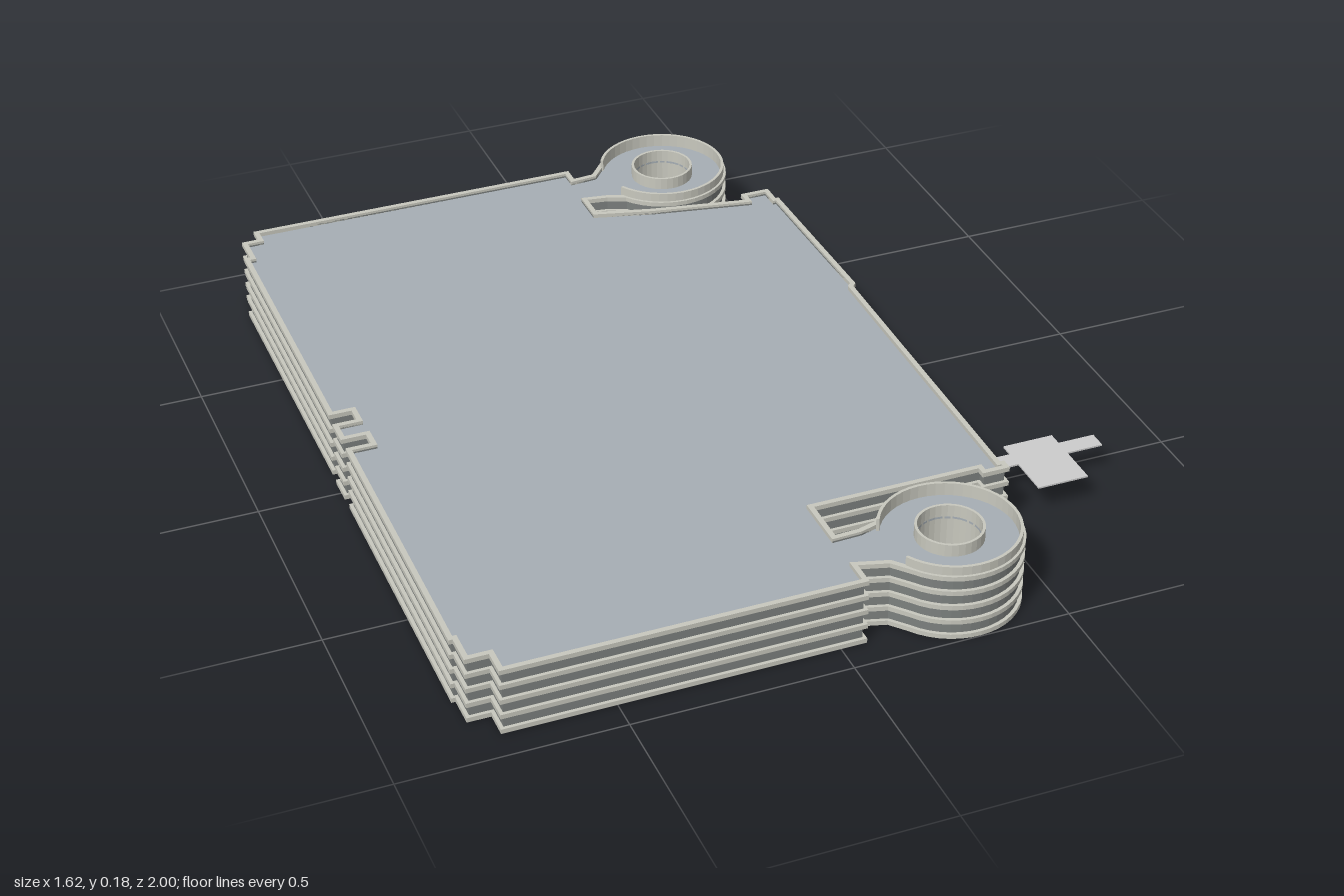
import * as THREE from 'three';

const RINGS = [[0.295, -0.838], [0.29, 0.836]]; // boss centres (x, z)
const RING_R = 0.162;
const RIM = 0.012;

const mat = (color) => new THREE.MeshStandardMaterial({ color, side: THREE.DoubleSide, flatShading: true });

function ringArc([cx, cz], r, limit, n) {
  return Array.from({ length: n + 1 }, (_, i) => {
    const a = THREE.MathUtils.degToRad(-limit + (2 * limit * i) / n);
    return [cx + r * Math.cos(a), cz + r * Math.sin(a)];
  });
}

// Plan outline as (x, z), clockwise seen from above
const OUTLINE = [
  [-0.80, -0.81], [-0.785, -0.81], [-0.785, -0.885], [-0.745, -0.885], [-0.745, -0.925],
  [0.075, -0.925], [0.075, -0.882], [0.125, -0.886],
  ...ringArc(RINGS[0], RING_R, 145, 36),
  [0.12, -0.762], [0.07, -0.77], [0.07, -0.705], [0.2, -0.67], [0.435, -0.625],
  [0.435, -0.655], [0.508, -0.655], [0.508, -0.605], [0.516, -0.605], [0.524, -0.16],
  [0.514, -0.15], [0.507, 0.64], [0.517, 0.64], [0.517, 0.668], [0.452, 0.668], [0.452, 0.647],
  [0.06, 0.647], [0.06, 0.757], [0.115, 0.755],
  ...ringArc(RINGS[1], RING_R, 145, 36),
  [0.125, 0.892], [0.06, 0.873], [0.06, 0.932], [-0.752, 0.932], [-0.752, 0.872],
  [-0.805, 0.872], [-0.805, 0.80], [-0.814, 0.80], [-0.808, 0.062], [-0.75, 0.062],
  [-0.75, 0.027], [-0.808, 0.027], [-0.808, -0.04], [-0.752, -0.04], [-0.752, -0.077], [-0.805, -0.077],
].map(([x, z]) => new THREE.Vector2(x, -z));

// Mitred inset of a clockwise polygon
function inset(points, d) {
  const n = points.length;
  const normal = (a, b) => new THREE.Vector2(b.y - a.y, a.x - b.x).normalize();
  return points.map((p, i) => {
    const n1 = normal(points[(i + n - 1) % n], p);
    const n2 = normal(p, points[(i + 1) % n]);
    const k = d / Math.max(0.4, 1 + n1.dot(n2));
    return p.clone().add(n1.add(n2).multiplyScalar(k));
  });
}

// Extrude a plan shape upward between two heights
function slab(shape, y0, y1) {
  const g = new THREE.ExtrudeGeometry(shape, { depth: y1 - y0, bevelEnabled: false });
  return g.rotateX(-Math.PI / 2).translate(0, y0, 0);
}

function band(outer, inner) {
  const s = new THREE.Shape(outer);
  s.holes.push(new THREE.Path(inner));
  return s;
}

export function createModel() {
  const group = new THREE.Group();
  const add = (name, geometry, material, parent = group) => {
    const mesh = new THREE.Mesh(geometry, material);
    mesh.name = name;
    parent.add(mesh);
    return mesh;
  };
  const metal = mat(0xc8c8be);
  const dark = mat(0x7c807e);
  const plateMat = mat(0xa6aeb4);
  const inner = inset(OUTLINE, RIM);

  // Side wall, open underneath
  add('sideWall', slab(band(inset(OUTLINE, 0.008), inner), 0.002, 0.155), dark);

  // Five flanges around the wall
  const flanges = new THREE.Group();
  flanges.name = 'flanges';
  group.add(flanges);
  const flangeShape = band(OUTLINE, inner);
  for (let i = 0; i < 5; i++) {
    const y = i * 0.0375;
    add('flange', slab(flangeShape, y, y + 0.011), metal, flanges);
  }

  // Cover plate just below the top rim, pierced by the two boss pins
  const plate = new THREE.Shape(inner);
  for (const [x, z] of RINGS) plate.holes.push(new THREE.Path().absarc(x, -z, 0.07, 0, Math.PI * 2));
  add('coverPlate', slab(plate, 0.146, 0.151), plateMat);

  // Corner bosses: raised rim and hollow pin
  for (const c of RINGS) {
    const boss = new THREE.Group();
    boss.name = 'cornerBoss';
    group.add(boss);
    const loop = [...ringArc(c, 0.156, 152, 40), ...ringArc(c, 0.149, 152, 40).reverse()];
    const rim = new THREE.Shape(loop.map(([x, z]) => new THREE.Vector2(x, -z)));
    add('raisedRim', slab(rim, 0.15, 0.182), metal, boss);

    const profile = [[0.07, 0.05], [0.076, 0.05], [0.076, 0.18], [0.07, 0.18], [0.07, 0.05]];
    const pin = add('hollowPin', new THREE.LatheGeometry(profile.map((p) => new THREE.Vector2(...p)), 32), metal, boss);
    pin.position.set(c[0], 0, c[1]);
    const floor = add('pinFloor', new THREE.CircleGeometry(0.0755, 32).rotateX(-Math.PI / 2), dark, boss);
    floor.position.set(c[0], 0.05, c[1]);
  }

  // Thin connector tab on the left side
  const tab = new THREE.Shape([
    [0.5, 0.515], [0.6, 0.515], [0.6, 0.482], [0.722, 0.482], [0.722, 0.515], [0.81, 0.515],
    [0.81, 0.557], [0.722, 0.557], [0.722, 0.655], [0.6, 0.655], [0.6, 0.557], [0.5, 0.557],
  ].map(([x, z]) => new THREE.Vector2(x, -z)));
  add('connectorTab', slab(tab, 0.073, 0.077), mat(0xcccccc));

  return group;
}
